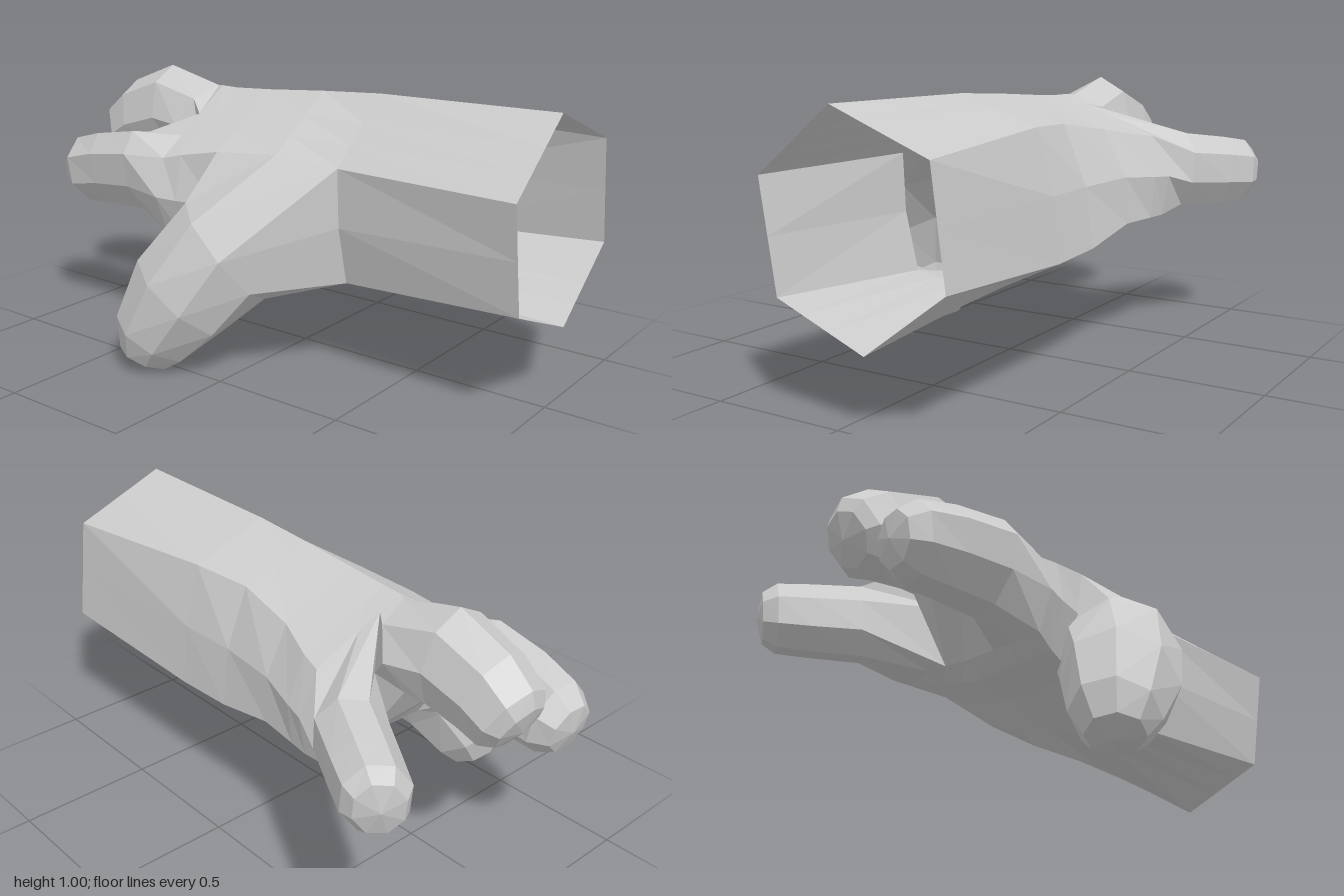
import * as THREE from 'three';

const V = (x, y, z) => new THREE.Vector3(x, y, z);
const mid = (a, b) => a.clone().lerp(b, 0.5);
const center = ring => ring.reduce((s, p) => s.add(p), V(0, 0, 0)).divideScalar(ring.length);
const material = new THREE.MeshStandardMaterial({ color: 0xcccccc, flatShading: true, side: THREE.DoubleSide });

// Skin a list of equal-length rings, leaving out the quads that isHole picks
function skin(name, rings, isHole = () => false) {
  const pos = [];
  const tri = (...pts) => pts.forEach(p => pos.push(p.x, p.y, p.z));
  const n = rings[0].length;
  for (let r = 0; r + 1 < rings.length; r++) {
    const a = rings[r], b = rings[r + 1];
    for (let i = 0; i < n; i++) {
      if (isHole(r, i)) continue;
      const j = (i + 1) % n;
      tri(a[i], a[j], b[j]);
      tri(a[i], b[j], b[i]);
    }
  }
  const g = new THREE.BufferGeometry();
  g.setAttribute('position', new THREE.Float32BufferAttribute(pos, 3));
  g.computeVertexNormals();
  const mesh = new THREE.Mesh(g, material);
  mesh.name = name;
  return mesh;
}

// Eight-sided rings along a path, growing from a base ring and ending in a slightly domed tip;
// each stop is [x, y, z, radius along ref, other radius]
function limb(name, base, stops, ref) {
  const centers = stops.map(s => V(s[0], s[1], s[2]));
  const rings = stops.map((s, k) => {
    const from = centers[k - 1] || center(base);
    const t = (centers[k + 1] || centers[k]).clone().sub(from).normalize();
    const u = ref.clone().addScaledVector(t, -ref.dot(t)).normalize();
    const v = u.clone().cross(t);
    return Array.from({ length: 8 }, (_, i) => {
      const a = Math.PI * (0.75 - i / 4);
      return centers[k].clone().addScaledVector(u, s[3] * Math.cos(a)).addScaledVector(v, s[4] * Math.sin(a));
    });
  });
  const [c0, c1] = centers.slice(-2);
  const tip = c1.clone().addScaledVector(c1.clone().sub(c0).normalize(), 0.02);
  return skin(name, [base, ...rings, Array(8).fill(tip)]);
}

// Six-cornered arm section, subdivided to sixteen points: 7 top, 1 side, 7 bottom, 1 side
const LEFT = [0, 0.3, 0.6], RIGHT = [0, 0.25, 0.5, 1];
function armRing([z, bulge, ...c]) {
  const p = Array.from({ length: 6 }, (_, i) => V(c[2 * i], c[2 * i + 1], z));
  // left corner to ridge to right corner
  const row = (a, b, d) => [
    ...LEFT.map(t => a.clone().lerp(b, t)),
    ...RIGHT.map(t => b.clone().lerp(d, t)),
  ];
  const right = mid(p[2], p[3]), left = mid(p[5], p[0]);
  right.x += bulge;
  left.x -= bulge;
  return [...row(p[0], p[1], p[2]), right, ...row(p[5], p[4], p[3]).reverse(), left];
}

export function createModel() {
  const hand = new THREE.Group();
  hand.name = 'hand';

  // Hollow forearm and palm: z, side bulge, then top left, ridge, top right, bottom right, keel, bottom left
  const arm = [
    [1, 0, -0.29, 0.78, 0, 1.01, 0.36, 0.87, 0.41, 0.49, 0.11, 0.265, -0.23, 0.4],
    [0.32, 0.02, -0.25, 0.78, 0, 1.0, 0.3, 0.9, 0.39, 0.45, 0.1, 0.31, -0.19, 0.36],
    [0.08, 0.03, -0.28, 0.8, 0, 0.985, 0.27, 0.89, 0.39, 0.46, 0.06, 0.34, -0.17, 0.31],
    [-0.17, 0.04, -0.3, 0.78, 0, 0.965, 0.3, 0.85, 0.4, 0.51, 0.06, 0.4, -0.26, 0.39],
    [-0.33, 0.045, -0.32, 0.75, 0.005, 0.955, 0.36, 0.82, 0.42, 0.51, 0.05, 0.415, -0.3, 0.42],
    [-0.41, 0.05, -0.33, 0.73, 0.01, 0.955, 0.38, 0.81, 0.43, 0.51, 0.04, 0.46, -0.32, 0.45],
  ].map(armRing);
  // the two left-side strips are left open where the thumb grows out
  hand.add(skin('forearmAndPalm', arm, (r, i) => (r === 1 || r === 2) && i >= 14));

  // Fingers grow out of the knuckle ring and share the webs between them; tilt rolls each about its length
  const fingers = {
    indexFinger: { tilt: 0.4, stops: [[-0.25, 0.645, -0.58, 0.115, 0.175], [-0.245, 0.625, -0.76, 0.11, 0.16],
      [-0.23, 0.605, -0.9, 0.12, 0.14], [-0.225, 0.59, -0.965, 0.085, 0.095]] },
    middleFinger: { tilt: 0, stops: [[0.025, 0.805, -0.52, 0.165, 0.165], [0.02, 0.82, -0.66, 0.15, 0.19],
      [0.025, 0.77, -0.83, 0.14, 0.17], [0.03, 0.72, -0.92, 0.13, 0.145], [0.03, 0.7, -0.955, 0.095, 0.1]] },
    littleFinger: { tilt: -0.3, stops: [[0.405, 0.66, -0.6, 0.125, 0.155], [0.495, 0.645, -0.76, 0.12, 0.145],
      [0.55, 0.635, -0.86, 0.115, 0.135], [0.575, 0.63, -0.9, 0.085, 0.1]] },
  };
  const k = arm[arm.length - 1];
  const side = w => (w === 0 ? k[15] : w === 3 ? k[7] : mid(k[2 * w], k[14 - 2 * w]));
  Object.entries(fingers).forEach(([name, { tilt, stops }], f) => {
    const i = 2 * f;
    const base = [k[i], k[i + 1], k[i + 2], side(f + 1), k[12 - i], k[13 - i], k[14 - i], side(f)];
    hand.add(limb(name, base, stops, V(1, tilt, 0)));
  });

  // Thumb, reaching out and down from the opening in the side of the palm
  const [, wrist, heel, palm] = arm;
  const opening = [palm[14], heel[14], wrist[14], wrist[15], wrist[0], heel[0], palm[0], palm[15]];
  const thumb = [[-0.38, 0.45, -0.07, 0.22, 0.22], [-0.48, 0.29, -0.19, 0.21, 0.19],
    [-0.53, 0.13, -0.285, 0.155, 0.15], [-0.55, 0.05, -0.31, 0.1, 0.1]];
  hand.add(limb('thumb', opening, thumb, V(0, 0, 1)));

  return hand;
}
